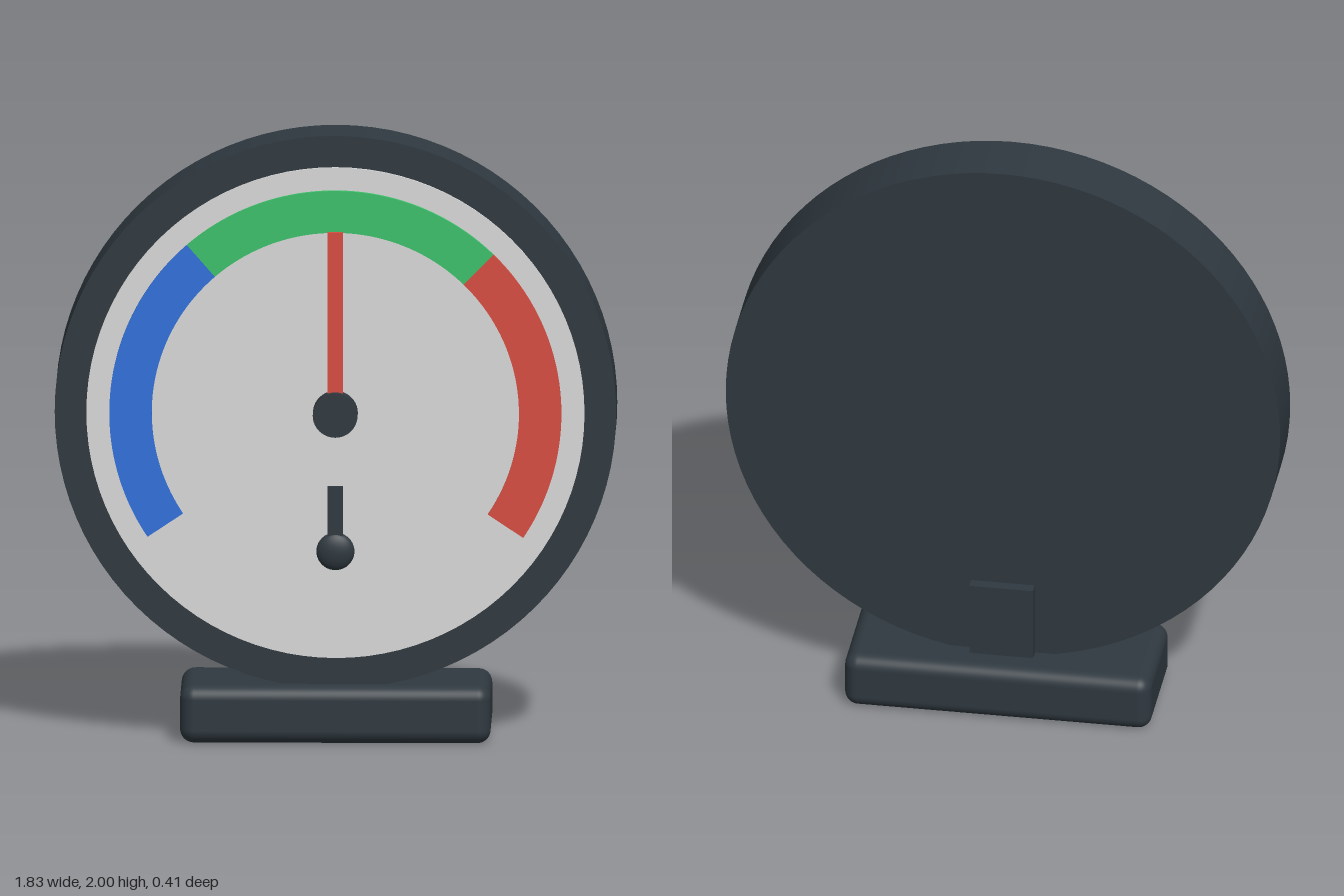
import * as THREE from 'three';
import { RoundedBoxGeometry } from 'three/addons/geometries/RoundedBoxGeometry.js';

const CY = 1.087; // height of the dial centre

function material(name, color) {
  const m = new THREE.MeshStandardMaterial({ color });
  m.name = name;
  return m;
}

export function createModel() {
  const group = new THREE.Group();
  const dark = material('dark slate', 0x2f3940);
  const pale = material('pale grey', 0xdadada);
  const blue = material('blue', 0x3070dc);
  const green = material('green', 0x3cc26a);
  const red = material('red', 0xd84d40);

  function add(name, geometry, mat, x = 0, y = 0, z = 0) {
    const mesh = new THREE.Mesh(geometry, mat);
    mesh.name = name;
    mesh.position.set(x, y, z);
    group.add(mesh);
    return mesh;
  }

  // Disc facing the front, spanning z0 to z1
  function disc(name, radius, z0, z1, mat, y = CY, sides = 96) {
    const g = new THREE.CylinderGeometry(radius, radius, z1 - z0, sides).rotateX(Math.PI / 2);
    return add(name, g, mat, 0, y, (z0 + z1) / 2);
  }

  // Curved scale band between two angles in degrees
  function band(name, from, to, mat) {
    const a = THREE.MathUtils.degToRad(from), b = THREE.MathUtils.degToRad(to);
    const s = new THREE.Shape();
    s.absarc(0, 0, 0.735, a, b, false);
    s.absarc(0, 0, 0.597, b, a, true);
    const g = new THREE.ExtrudeGeometry(s, { depth: 0.015, bevelEnabled: false, curveSegments: 32 });
    add(name, g, mat, 0, CY, 0.144);
  }

  // Case and dial
  disc('case', 0.913, -0.07, 0.135, dark);
  disc('dialFace', 0.81, 0.13, 0.145, pale);

  // Scale
  band('coldBand', 131, 213.8, blue);
  band('comfortBand', 45.7, 131, green);
  band('hotBand', -33.8, 45.7, red);

  // Needle and hub
  add('needle', new THREE.BoxGeometry(0.05, 0.6, 0.016), red, 0, 1.387, 0.167);
  disc('hub', 0.073, 0.14, 0.197, dark, CY, 40);

  // Thermometer symbol
  add('symbolStem', new THREE.BoxGeometry(0.05, 0.22, 0.016), dark, 0, 0.735, 0.151);
  const bulb = add('symbolBulb', new THREE.SphereGeometry(0.062, 32, 20), dark, 0, 0.63, 0.147);
  bulb.scale.z = 0.45;

  // Stand
  add('base', new RoundedBoxGeometry(1.01, 0.19, 0.405, 5, 0.045), dark, 0, 0.095, 0);
  add('backSupport', new THREE.BoxGeometry(0.21, 0.345, 0.06), dark, 0, 0.2725, -0.077);

  return group;
}
